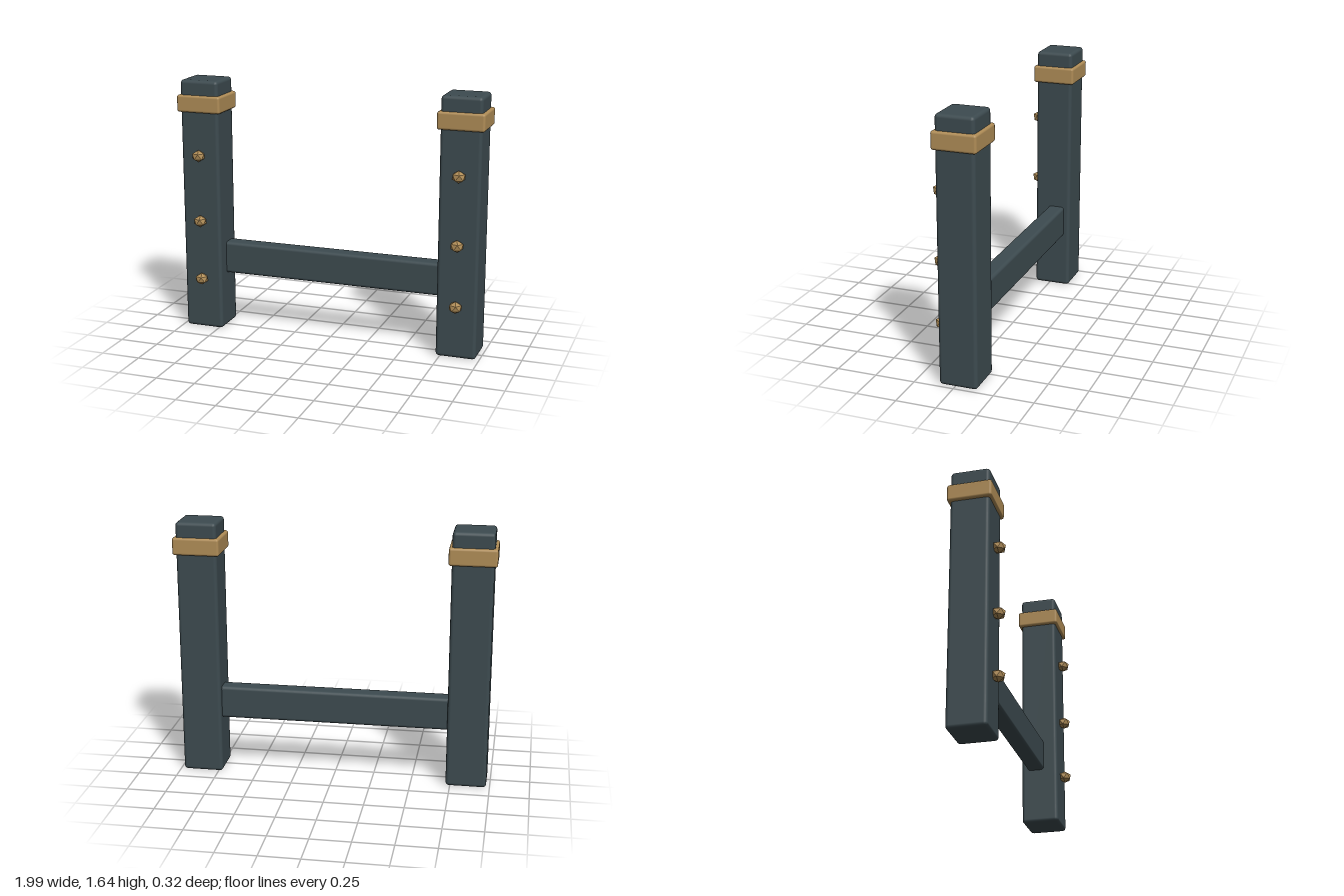
import * as THREE from 'three';
import { RoundedBoxGeometry } from 'three/addons/geometries/RoundedBoxGeometry.js';
import { ConvexGeometry } from 'three/addons/geometries/ConvexGeometry.js';

const slate = new THREE.MeshStandardMaterial({ name: 'slate', color: 0x3d4b50 });
const brass = new THREE.MeshStandardMaterial({ name: 'brass', color: 0xb08d57 });

function add(parent, name, geometry, material, x, y, z) {
  const mesh = new THREE.Mesh(geometry, material);
  mesh.name = name;
  mesh.position.set(x, y, z);
  parent.add(mesh);
  return mesh;
}

// Twenty-sided stud with its poles up and down: two staggered rings of five
function studGeometry() {
  const points = [new THREE.Vector3(0, 0.039, 0), new THREE.Vector3(0, -0.039, 0)];
  for (let i = 0; i < 10; i++) {
    const a = (i * Math.PI) / 5;
    const y = i % 2 ? -0.0175 : 0.0175;
    points.push(new THREE.Vector3(Math.cos(a) * 0.04, y, Math.sin(a) * 0.04));
  }
  return new ConvexGeometry(points);
}

export function createModel() {
  const model = new THREE.Group();
  model.name = 'postFrame';

  const postGeo = new RoundedBoxGeometry(0.256, 1.64, 0.24, 2, 0.022);
  const bandGeo = new RoundedBoxGeometry(0.294, 0.11, 0.274, 2, 0.015);
  const studGeo = studGeometry();

  // Two posts, each with a band near the top and three studs on the front
  for (const [side, s] of [['left', 1], ['right', -1]]) {
    const x = s * 0.85;
    add(model, side + 'Post', postGeo, slate, x, 0.82, -0.02);
    add(model, side + 'Band', bandGeo, brass, x, 1.49, -0.02);
    [0.34, 0.73, 1.16].forEach((y, i) =>
      add(model, side + 'Stud' + (i + 1), studGeo, brass, x, y, 0.125));
  }

  // Crossbeam joining the posts
  add(model, 'crossbeam', new RoundedBoxGeometry(1.5, 0.21, 0.11, 2, 0.02), slate, 0, 0.465, -0.045);

  return model;
}
